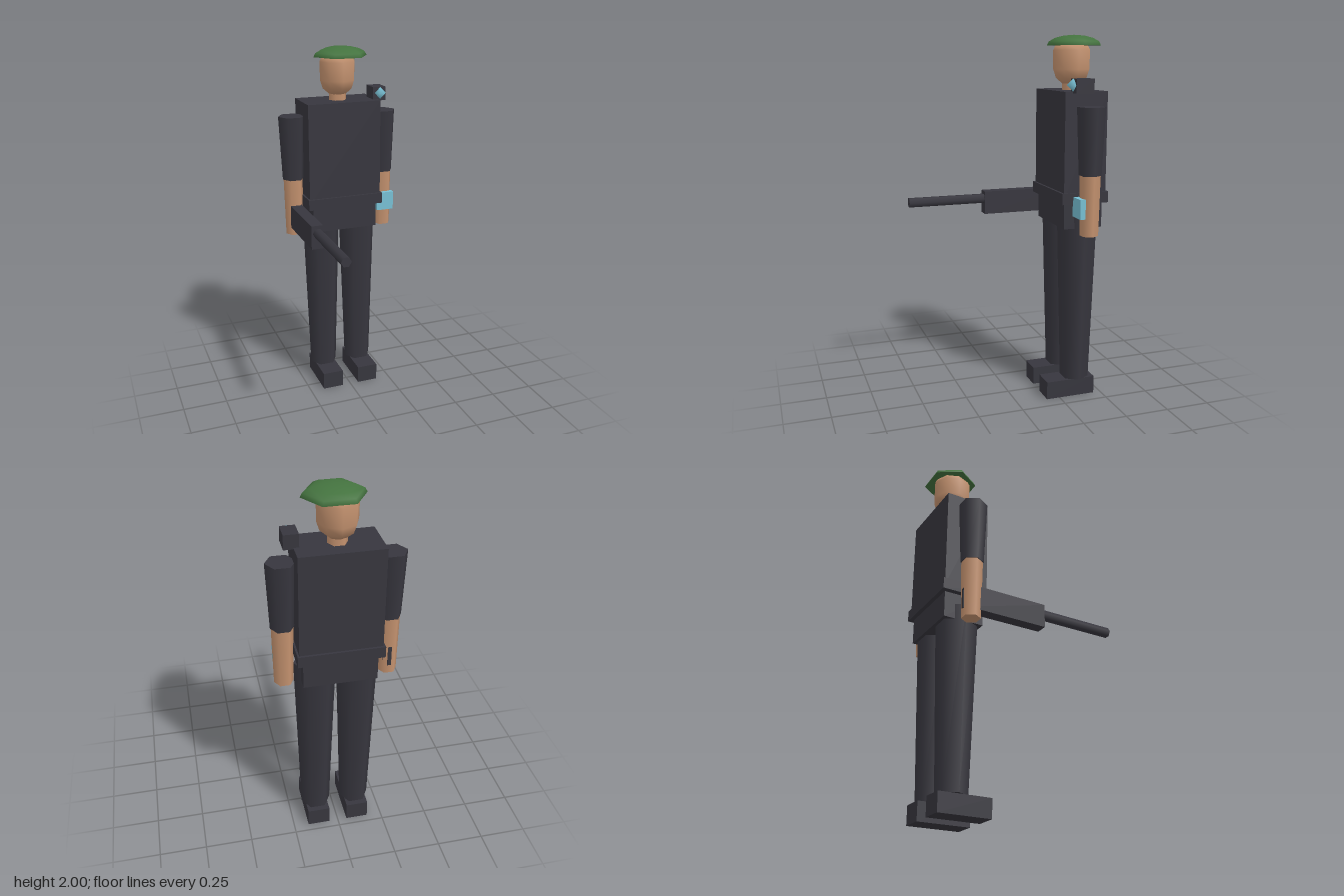
import * as THREE from 'three';

const mat = (name, color) => {
  const m = new THREE.MeshStandardMaterial({ color });
  m.name = name;
  return m;
};

export function createModel() {
  const model = new THREE.Group();
  model.name = 'guard';

  const dark = mat('charcoal cloth', 0x37363e);
  const skin = mat('skin', 0xc4926f);
  const green = mat('beret green', 0x44733f);
  const cyan = mat('light blue', 0x78c0d4);

  const Z = -0.36; // body axis

  const add = (name, geometry, material, x, y, z) => {
    const mesh = new THREE.Mesh(geometry, material);
    mesh.name = name;
    mesh.position.set(x, y, z);
    model.add(mesh);
    return mesh;
  };
  // Box given by its size and centre
  const box = (name, material, w, h, d, x, y, z) =>
    add(name, new THREE.BoxGeometry(w, h, d), material, x, y, z);
  // Tapered six-sided limb with corners towards the sides
  const limb = (name, material, rTop, rBottom, y0, y1, x) => {
    const g = new THREE.CylinderGeometry(rTop, rBottom, y1 - y0, 6);
    g.rotateY(Math.PI / 6);
    return add(name, g, material, x, (y0 + y1) / 2, Z);
  };

  // Torso
  box('torso', dark, 0.42, 0.56, 0.24, 0, 1.43, Z);
  box('belt', dark, 0.44, 0.06, 0.265, 0, 1.15, Z);
  box('pelvis', dark, 0.38, 0.15, 0.22, 0, 1.055, Z);

  // Legs and arms
  for (const [side, s] of [['left', 1], ['right', -1]]) {
    limb(side + 'Leg', dark, 0.11, 0.08, 0.1, 1.06, s * 0.11);
    box(side + 'Boot', dark, 0.12, 0.1, 0.285, s * 0.11, 0.05, -0.316);
    limb(side + 'Sleeve', dark, 0.075, 0.06, 1.28, 1.635, s * 0.27);
    limb(side + 'Forearm', skin, 0.056, 0.05, 0.957, 1.29, s * 0.27);
  }

  // Neck and head
  limb('neck', skin, 0.05, 0.05, 1.69, 1.78, 0);
  const profile = [[0, 1.745], [0.05, 1.745], [0.085, 1.775], [0.1, 1.82], [0.102, 1.92], [0.085, 1.955], [0, 1.96]]
    .map(([r, y]) => new THREE.Vector2(r, y));
  const head = add('head', new THREE.LatheGeometry(profile, 8), skin, 0, 0, Z);
  head.scale.z = 1.05;

  // Beret: flattened six-sided dome with a closed underside
  const dome = new THREE.SphereGeometry(0.155, 6, 4, 0, Math.PI * 2, 0, Math.PI / 2);
  add('beret', dome, green, 0.02, 1.945, -0.363).scale.set(1, 0.355, 0.92);
  const under = new THREE.CircleGeometry(0.155, 6);
  under.rotateX(Math.PI / 2);
  add('beretUnderside', under, green, 0.02, 1.945, -0.363).scale.z = 0.92;

  // Shoulder unit with lens
  box('shoulderUnit', dark, 0.075, 0.075, 0.1, 0.22, 1.74, -0.33);
  add('shoulderLens', new THREE.SphereGeometry(0.033, 6, 2), cyan, 0.223, 1.745, -0.275);

  // Wrist screen
  box('wristScreen', cyan, 0.1, 0.105, 0.03, 0.265, 1.108, -0.304);

  // Rifle held in the right hand
  box('rifleBody', dark, 0.065, 0.13, 0.45, -0.268, 1.067, -0.165);
  box('rifleStock', dark, 0.02, 0.11, 0.04, -0.268, 1.06, -0.388);
  const barrel = new THREE.CylinderGeometry(0.028, 0.028, 0.45, 6);
  barrel.rotateY(Math.PI / 6);
  barrel.rotateX(Math.PI / 2);
  add('rifleBarrel', barrel, dark, -0.265, 1.089, 0.27);

  return model;
}
